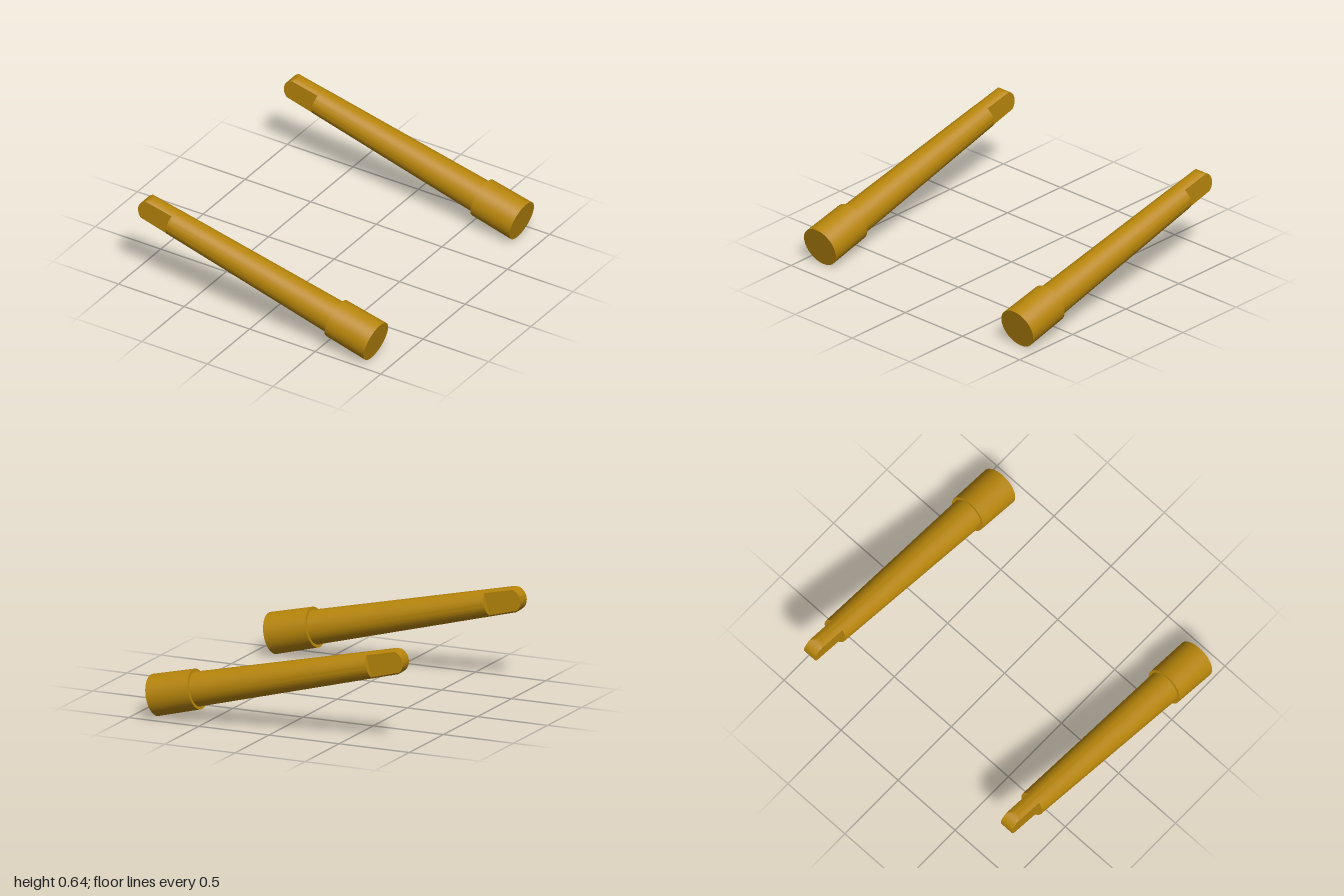
import * as THREE from 'three';
import { toCreasedNormals } from 'three/addons/utils/BufferGeometryUtils.js';

const COLLAR_END = 0.309, SHAFT_END = 1.59, TIP_CENTRE = 1.749, TIP_R = 0.085;
const TANG_HALF = 0.048;
// radius of the tapered shaft at distance s from the thick end
const shaftRadius = (s) => 0.113 - (s - COLLAR_END) * 0.0194;

export function createModel() {
  const model = new THREE.Group();
  const material = new THREE.MeshStandardMaterial({ color: 0xb8860b });

  // collar and tapered shaft, turned around the rod axis
  const lathe = (points) => toCreasedNormals(
    new THREE.LatheGeometry(points.map(([r, s]) => new THREE.Vector2(r, s)), 64), 0.5);
  const collar = lathe([[0, 0], [0.1365, 0], [0.1325, COLLAR_END], [0, COLLAR_END]]);
  const shaft = lathe([[shaftRadius(COLLAR_END), COLLAR_END],
    [shaftRadius(SHAFT_END), SHAFT_END], [0, SHAFT_END]]);

  // flat tang with a round tip: extruded outline, trimmed to the shaft's taper
  const r0 = shaftRadius(SHAFT_END);
  const outline = new THREE.Shape();
  outline.moveTo(-r0, SHAFT_END);
  outline.lineTo(r0, SHAFT_END);
  outline.lineTo(TIP_R, TIP_CENTRE);
  outline.absarc(0, TIP_CENTRE, TIP_R, 0, Math.PI, false);
  outline.closePath();
  const tang = new THREE.ExtrudeGeometry(outline,
    { depth: TANG_HALF * 2, steps: 10, bevelEnabled: false, curveSegments: 40 });
  tang.translate(0, 0, -TANG_HALF);
  const p = tang.attributes.position;
  for (let i = 0; i < p.count; i++) {
    const limit = Math.sqrt(shaftRadius(p.getY(i)) ** 2 - p.getZ(i) ** 2);
    p.setX(i, THREE.MathUtils.clamp(p.getX(i), -limit, limit));
  }
  const tangGeometry = toCreasedNormals(tang, 0.5);

  // two identical parallel rods, tilted so the tang is raised
  for (const [side, name] of [[1, 'frontRod'], [-1, 'backRod']]) {
    const rod = new THREE.Group();
    rod.name = name;
    for (const [part, geometry] of [['collar', collar], ['shaft', shaft], ['tang', tangGeometry]]) {
      const mesh = new THREE.Mesh(geometry, material);
      mesh.name = part;
      rod.add(mesh);
    }
    rod.rotation.z = THREE.MathUtils.degToRad(90 - 13.83);
    rod.position.set(0.875, 0.1326, side * 0.8635);
    model.add(rod);
  }
  return model;
}
